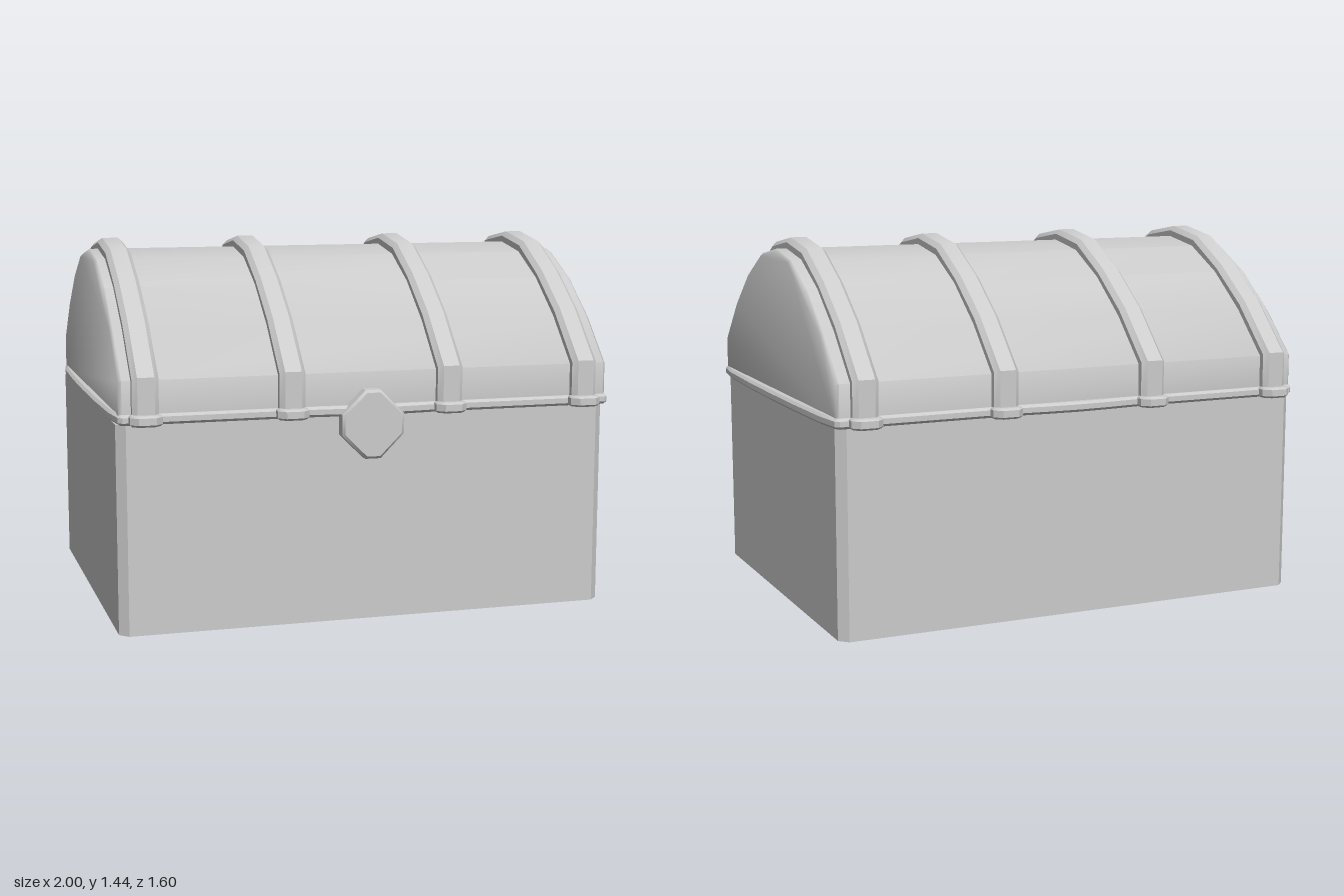
import * as THREE from 'three';
import { toCreasedNormals } from 'three/addons/utils/BufferGeometryUtils.js';

const grey = new THREE.MeshStandardMaterial({ color: 0xcccccc });

const shapeOf = (points) => new THREE.Shape(points.map(([x, y]) => new THREE.Vector2(x, y)));

// Extrudes an outline to an exact total depth, centred on z = 0, with bevelled ends.
function slab(points, depth, bevel, crease = 0.6) {
  const geometry = new THREE.ExtrudeGeometry(shapeOf(points), {
    depth: depth - 2 * bevel,
    bevelEnabled: bevel > 0,
    bevelThickness: bevel,
    bevelSize: bevel,
    bevelOffset: -bevel,
    bevelSegments: 1,
  });
  geometry.translate(0, 0, -(depth - 2 * bevel) / 2);
  return toCreasedNormals(geometry, crease);
}

// Rectangle outline with cut corners.
function cutRect(w, h, c) {
  return [
    [w - c, -h], [w, -h + c], [w, h - c], [w - c, h],
    [-w + c, h], [-w, h - c], [-w, -h + c], [-w + c, -h],
  ];
}

// Mirrors the right half of an arch, listed from the foot up to the crown.
function arch(half) {
  const left = half.slice(0, -1).reverse().map(([z, y]) => [-z, y]);
  return [...half, ...left];
}

export function createModel() {
  const chest = new THREE.Group();
  chest.name = 'treasureChest';

  const add = (name, geometry, x = 0, y = 0, z = 0) => {
    const mesh = new THREE.Mesh(geometry, grey);
    mesh.name = name;
    mesh.position.set(x, y, z);
    chest.add(mesh);
    return mesh;
  };

  // Body with cut vertical corners
  add('body', slab(cutRect(0.972, 0.73, 0.034), 0.8, 0).rotateX(-Math.PI / 2), -0.008, 0.4, 0);

  // Arched lid
  const lidArch = arch([[0.73, 0.8], [0.73, 0.965], [0.56, 1.135], [0.375, 1.275], [0.185, 1.37], [0, 1.4]]);
  add('lid', slab(lidArch, 1.94, 0.012, 0.8).rotateY(Math.PI / 2), -0.002, 0, 0);

  // Rim under the lid, gently bowed on all four sides
  const quarter = [[1.0, 0], [0.998, 0.3], [0.99, 0.6], [0.975, 0.73], [0.96, 0.745], [0.26, 0.745], [0.13, 0.756], [0, 0.762]];
  const half = [...quarter, ...quarter.slice(0, -1).reverse().map(([x, z]) => [-x, z])];
  const rim = [...half, ...half.slice(1, -1).reverse().map(([x, z]) => [x, -z])];
  add('rim', slab(rim, 0.04, 0.01).rotateX(-Math.PI / 2), 0, 0.82, 0);

  // Four bands over the lid, each with a foot at front and back
  const bandArch = arch([[0.77, 0.8], [0.77, 0.98], [0.58, 1.17], [0.395, 1.305], [0.198, 1.412], [0, 1.443]]);
  const bandGeometry = slab(bandArch, 0.1, 0.018, 0.75).rotateY(Math.PI / 2);
  const footGeometry = slab(cutRect(0.061, 0.045, 0.028), 0.042, 0.008).rotateX(-Math.PI / 2);
  for (const x of [-0.876, -0.32, 0.306, 0.864]) {
    add('band', bandGeometry, x);
    for (const side of [-1, 1]) add('bandFoot', footGeometry, x, 0.821, side * 0.755);
  }

  // Diamond latch with cut points
  const latch = [
    [0.03, -0.132], [0.122, -0.04], [0.122, 0.04], [0.03, 0.132],
    [-0.03, 0.132], [-0.122, 0.04], [-0.122, -0.04], [-0.03, -0.132],
  ];
  add('latch', slab(latch, 0.07, 0.01), -0.01, 0.769, 0.75);

  return chest;
}
